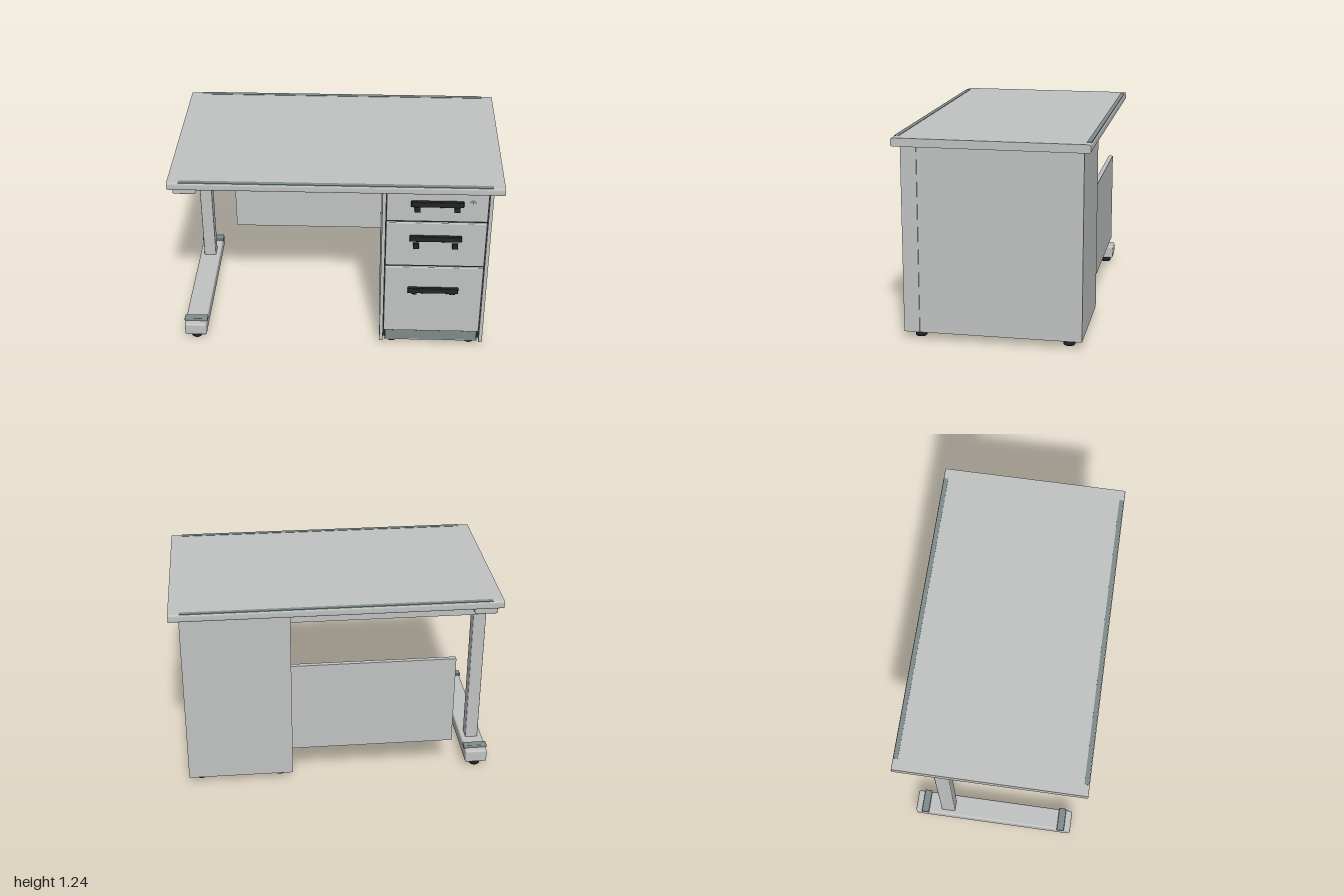
import * as THREE from 'three';
import { RoundedBoxGeometry } from 'three/addons/geometries/RoundedBoxGeometry.js';

export function createModel() {
  const desk = new THREE.Group();
  desk.name = 'desk';
  const material = (name, color) => {
    const m = new THREE.MeshStandardMaterial({ color });
    m.name = name;
    return m;
  };
  const grey = material('light grey', 0xc1c3c2);
  const slate = material('slate grey', 0x7f8b8b);
  const black = material('black', 0x222424);

  const add = (name, geometry, mat, parent = desk) => {
    const mesh = new THREE.Mesh(geometry, mat);
    mesh.name = name;
    parent.add(mesh);
    return mesh;
  };
  // Box from its lower and upper limits; r rounds the edges
  const box = (name, mat, [x0, x1], [y0, y1], [z0, z1], parent = desk, r = 0) => {
    const size = [x1 - x0, y1 - y0, z1 - z0];
    const g = r ? new RoundedBoxGeometry(...size, 2, r) : new THREE.BoxGeometry(...size);
    g.translate((x0 + x1) / 2, (y0 + y1) / 2, (z0 + z1) / 2);
    return add(name, g, mat, parent);
  };
  const group = (name) => {
    const g = new THREE.Group();
    g.name = name;
    desk.add(g);
    return g;
  };
  // Glide with a wide pad and a narrower collar
  const glide = (x, z, parent) => {
    const pts = [[0, 0], [0.031, 0], [0.036, 0.006], [0.036, 0.026], [0.03, 0.03], [0.03, 0.041], [0, 0.041]];
    const g = new THREE.LatheGeometry(pts.map(([a, b]) => new THREE.Vector2(a, b)), 16);
    add('glide', g.translate(x, 0, z), black, parent);
  };

  // Worktop: rounded profile swept across the width
  const h = 0.58, lo = 1.185, hi = 1.235, r = 0.014;
  const profile = new THREE.Shape();
  profile.moveTo(-h + r, lo);
  profile.lineTo(h - r, lo);
  profile.quadraticCurveTo(h, lo, h, lo + r);
  profile.lineTo(h, hi - r);
  profile.quadraticCurveTo(h, hi, h - r, hi);
  profile.lineTo(-h + r, hi);
  profile.quadraticCurveTo(-h, hi, -h, hi - r);
  profile.lineTo(-h, lo + r);
  profile.quadraticCurveTo(-h, lo, -h + r, lo);
  const topGeo = new THREE.ExtrudeGeometry(profile, { depth: 2, bevelEnabled: false, curveSegments: 4 });
  topGeo.rotateY(Math.PI / 2).translate(-1, 0, 0);
  add('worktop', topGeo, grey);
  for (const s of [-1, 1]) {
    box('edgeStrip', slate, [-0.93, 0.93], [1.23, 1.2375], s > 0 ? [0.548, 0.575] : [-0.575, -0.548]);
  }

  // Drawer pedestal
  const pedestal = group('pedestal');
  box('cabinetBody', grey, [0.28, 0.94], [0.045, 1.185], [-0.535, 0.443], pedestal);
  box('leftFrontStile', grey, [0.918, 0.94], [0.045, 1.185], [0.445, 0.54], pedestal);
  box('rightFrontStile', grey, [0.28, 0.302], [0.045, 1.185], [0.445, 0.54], pedestal);
  box('topRail', grey, [0.302, 0.918], [1.168, 1.185], [0.445, 0.525], pedestal);
  box('drawerRecess', black, [0.302, 0.918], [0.06, 1.168], [0.443, 0.513], pedestal);
  box('plinth', slate, [0.32, 0.9], [0.045, 0.12], [0.445, 0.52], pedestal);
  box('basePlate', grey, [0.31, 0.91], [0.035, 0.045], [-0.49, 0.515], pedestal);
  for (const x of [0.36, 0.86]) for (const z of [0.455, -0.45]) glide(x, z, pedestal);

  // Drawers: front limits, handle height, foot drop
  const drawers = [
    [0.965, 1.165, 1.097, 0.038],
    [0.635, 0.952, 0.847, 0.055],
    [0.12, 0.622, 0.455, 0.012],
  ];
  for (const [y0, y1, hy, drop] of drawers) {
    box('drawerFront', grey, [0.305, 0.915], [y0, y1], [0.48, 0.53], pedestal, 0.006);
    box('handleBar', black, [0.45, 0.766], [hy - 0.019, hy + 0.019], [0.528, 0.551], pedestal, 0.005);
    for (const x of [0.49, 0.728]) {
      box('handleFoot', black, [x - 0.018, x + 0.018], [hy - 0.019 - drop, hy - 0.019 - Math.max(0, drop - 0.036)],
        [0.528, 0.546], pedestal, 0.003);
    }
  }
  const lock = new THREE.CylinderGeometry(0.018, 0.018, 0.012, 20).rotateX(Math.PI / 2);
  add('lock', lock.translate(0.82, 1.1, 0.53), grey, pedestal);
  const lockSlot = new THREE.BoxGeometry(0.004, 0.014, 0.002).translate(0.82, 1.1, 0.5365);
  add('lockSlot', lockSlot, slate, pedestal);

  // Leg frame
  const leg = group('legFrame');
  box('post', grey, [-0.95, -0.87], [0.1, 1.15], [-0.35, -0.26], leg, 0.008);
  box('footBeam', grey, [-0.98, -0.84], [0.037, 0.122], [-0.52, 0.52], leg, 0.012);
  box('topArm', grey, [-0.98, -0.838], [1.12, 1.178], [-0.52, 0.52], leg, 0.012);
  box('mountPlate', grey, [-0.992, -0.825], [1.172, 1.186], [-0.53, 0.53], leg);
  for (const s of [-1, 1]) {
    box('footRidge', slate, [-0.985, -0.835], [0.116, 0.138], [s * 0.455 - 0.024, s * 0.455 + 0.024], leg, 0.006);
    glide(-0.91, s * 0.465, leg);
  }

  // Back rail and modesty panel
  box('backRail', grey, [-0.87, 0.28], [1.095, 1.186], [-0.47, -0.38]);
  box('modestyPanel', grey, [-0.74, 0.285], [0.22, 0.82], [-0.52, -0.492]);
  return desk;
}
